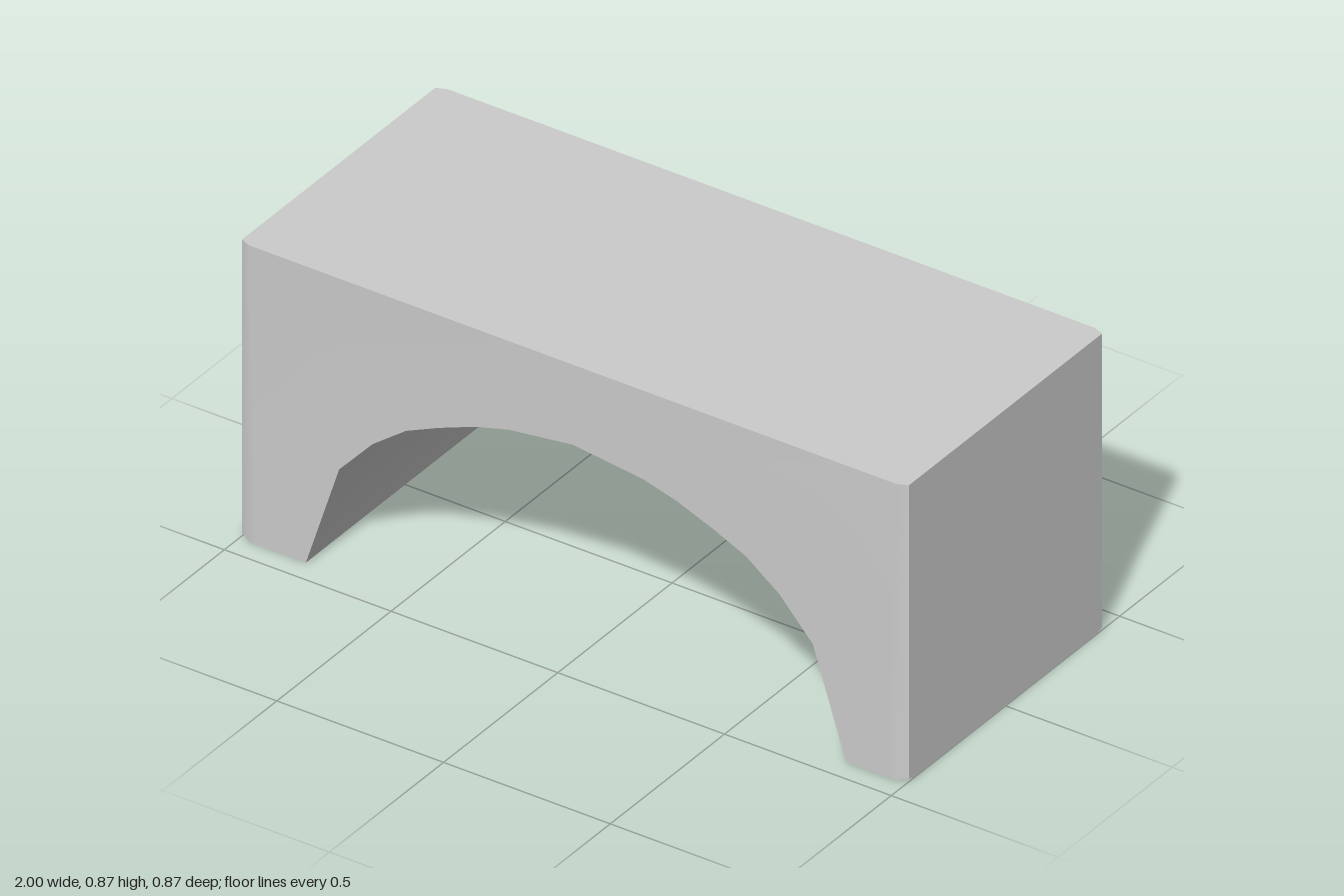
import * as THREE from 'three';
import { toCreasedNormals } from 'three/addons/utils/BufferGeometryUtils.js';

export function createModel() {
  const group = new THREE.Group();
  group.name = 'archBlock';

  // Half of the arch opening, from the foot to the crown, relative to its centre line
  const half = [[0.81, 0], [0.71, 0.31], [0.61, 0.42], [0.51, 0.495], [0.41, 0.54], [0.3, 0.583], [0.2, 0.61]];
  const centre = 0.01;
  const right = half.map(([x, y]) => [centre + x, y]);
  const left = half.map(([x, y]) => [centre - x, y]).reverse();
  const outline = [
    [-1, 0.87], [-1, 0], [-0.95, 0],
    ...left.reverse(), [0, 0.635], ...right.reverse(),
    [0.95, 0], [1, 0], [1, 0.87],
  ];
  const shape = new THREE.Shape(outline.map(([x, y]) => new THREE.Vector2(x, y)));

  // Extrude in five layers, then respace them and pull in the upright corners
  const layers = [-0.435, -0.423, -0.4, 0.4, 0.423, 0.435];
  const geometry = new THREE.ExtrudeGeometry(shape, { depth: 5, steps: 5, bevelEnabled: false });
  const pos = geometry.attributes.position;
  for (let i = 0; i < pos.count; i++) {
    const z = layers[Math.round(pos.getZ(i))];
    const x = pos.getX(i);
    const depth = Math.abs(z);
    if (depth > 0.43) pos.setX(i, THREE.MathUtils.clamp(x, -0.97, 0.97));
    // Slightly lifted bottom corners
    if (depth > 0.41 && depth < 0.43 && Math.abs(x) > 0.99 && pos.getY(i) < 0.01) pos.setY(i, 0.01);
    pos.setZ(i, z);
  }

  const arch = new THREE.Mesh(
    toCreasedNormals(geometry, THREE.MathUtils.degToRad(35)),
    new THREE.MeshStandardMaterial({ color: 0xcccccc }),
  );
  arch.name = 'arch';
  group.add(arch);
  return group;
}
